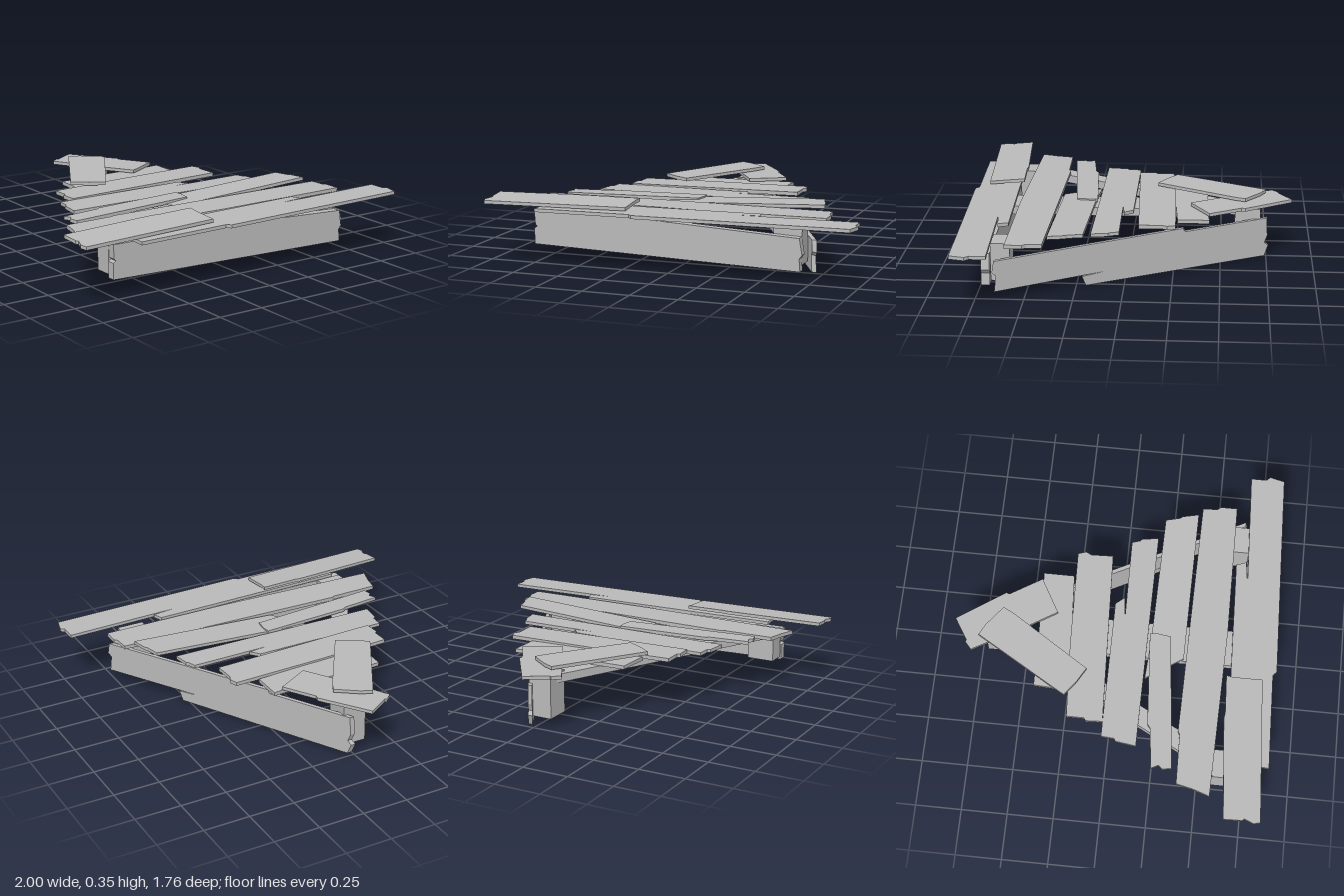
import * as THREE from 'three';

const weatheredGrey = new THREE.MeshStandardMaterial({ color: 0xbababa });
weatheredGrey.name = 'weatheredGrey';

// Extrudes a 2D outline, then moves each vertex by a rule
function slab(name, outline, depth, rule) {
  const shape = new THREE.Shape(outline.map(([a, b]) => new THREE.Vector2(a, b)));
  const g = new THREE.ExtrudeGeometry(shape, { depth, bevelEnabled: false });
  const p = g.attributes.position;
  for (let i = 0; i < p.count; i++) {
    p.setXYZ(i, ...rule(p.getX(i), p.getY(i), p.getZ(i)));
  }
  g.computeVertexNormals();
  const mesh = new THREE.Mesh(g, weatheredGrey);
  mesh.name = name;
  return mesh;
}

// Flat board from an (x, z) outline; the underside lies at y + sx * x + sz * z
function board(name, outline, y, thick, sx = 0, sz = 0) {
  return slab(name, outline.map(([x, z]) => [x, -z]), thick,
    (a, b, d) => [a, y + d + sx * a - sz * b, -b]);
}

export function createModel() {
  const model = new THREE.Group();
  model.name = 'brokenPlankPlatform';

  // Deck planks with splintered ends, from back to front
  const deck = new THREE.Group();
  deck.name = 'deckPlanks';
  deck.add(
    board('peakPlank', [[-0.19, -0.78], [-0.15, -0.815], [-0.14, -0.81], [-0.02, -0.885], [0.155, -0.63],
      [0.15, -0.61], [0.255, -0.44], [0.07, -0.335], [-0.02, -0.48]], 0.302, 0.018),
    board('peakOverlayPlank', [[-0.11, -0.745], [-0.05, -0.715], [0.06, -0.63], [0.03, -0.57], [-0.24, -0.145],
      [-0.32, -0.19], [-0.40, -0.25], [-0.36, -0.32]], 0.314, 0.018, 0, -0.02),
    board('plankOne', [[-0.35, -0.42], [0.24, -0.435], [0.30, -0.44], [0.30, -0.27], [-0.36, -0.23]], 0.277, 0.02),
    board('plankTwo', [[-0.51, -0.225], [-0.1, -0.25], [0.43, -0.265], [0.445, -0.22], [0.43, -0.19], [0.435, -0.07],
      [-0.52, -0.03], [-0.525, -0.12], [-0.51, -0.13]], 0.288, 0.02),
    board('plankThree', [[-0.60, -0.03], [0.16, -0.03], [0.2, 0.02], [0.1, 0.03], [0.53, 0.025], [0.545, 0.07],
      [0.555, 0.08], [0.57, 0.17], [-0.635, 0.16], [-0.62, 0.05], [-0.605, 0.04]], 0.283, 0.018),
    board('plankFourLeft', [[-0.75, 0.25], [-0.53, 0.225], [-0.51, 0.21], [0, 0.175], [0.005, 0.22], [-0.005, 0.29],
      [-0.74, 0.36], [-0.75, 0.31], [-0.73, 0.29]], 0.292, 0.018),
    board('plankFourRight', [[-0.25, 0.17], [-0.02, 0.185], [0.67, 0.2], [0.69, 0.28], [0.7, 0.29], [0.72, 0.38],
      [-0.12, 0.37]], 0.284, 0.018, 0.045),
    board('plankFive', [[-0.82, 0.39], [-0.55, 0.385], [-0.53, 0.375], [0.77, 0.4], [0.775, 0.48], [0.79, 0.5],
      [0.79, 0.59], [0.05, 0.595], [-0.87, 0.57], [-0.84, 0.48]], 0.288, 0.02),
    board('frontPlank', [[-0.69, 0.645], [0.45, 0.61], [0.47, 0.665], [0.34, 0.68], [0.98, 0.655], [0.98, 0.74],
      [1.0, 0.76], [0.98, 0.84], [-0.15, 0.875], [-0.17, 0.855], [-0.69, 0.87], [-0.68, 0.74]], 0.295, 0.018),
    board('frontOverlayPlank', [[-0.995, 0.65], [-0.45, 0.61], [-0.42, 0.615], [-0.21, 0.605], [-0.215, 0.64],
      [-0.21, 0.8], [-0.99, 0.845], [-1.0, 0.81], [-0.98, 0.76], [-0.99, 0.75]], 0.382, 0.018, 0, -0.08),
  );
  model.add(deck);

  // Support beams under the deck
  const beams = new THREE.Group();
  beams.name = 'supportBeams';
  beams.add(
    board('leftBeam', [[-0.73, 0.57], [-0.62, 0.57], [0.02, -0.63], [-0.08, -0.66]], 0.235, 0.045, 0, 0.012),
    board('centreBeam', [[-0.13, 0.67], [0.07, 0.67], [0.07, -0.35], [-0.13, -0.42]], 0.237, 0.045),
  );
  model.add(beams);

  // Corner posts
  const posts = [
    ['frontRightPost', -0.68, 0.625, 0.15, 0.1, 0.11],
    ['frontLeftPost', 0.615, 0.625, 0.15, 0.1, 0.08],
    ['backPost', -0.02, -0.645, 0.13, 0.14, 0.05],
  ];
  for (const [name, x, z, w, d, bottom] of posts) {
    const post = new THREE.Mesh(new THREE.BoxGeometry(w, 0.28 - bottom, d), weatheredGrey);
    post.name = name;
    post.position.set(x, (0.28 + bottom) / 2, z);
    model.add(post);
  }

  // Front skirt board, an (x, y) outline
  model.add(slab('frontSkirt', [[-0.76, 0.095], [0.13, 0.07], [0.695, 0.055], [0.69, 0.12], [0.705, 0.14],
    [0.69, 0.225], [0.1, 0.255], [-0.1, 0.265], [-0.76, 0.275], [-0.755, 0.2], [-0.745, 0.19], [-0.76, 0.18]], 0.045,
    (x, y, d) => [x, y, 0.68 + d]));

  // Left skirt board with a split end, a (-z, y) outline laid along the slanted edge
  model.add(slab('leftSkirt', [[-0.65, 0.045], [-0.11, 0.065], [-0.22, 0.055], [-0.2, 0.003], [0.74, 0.015],
    [0.76, 0.07], [0.74, 0.09], [0.755, 0.13], [0.75, 0.23], [0.31, 0.22], [0.3, 0.24], [-0.2, 0.225],
    [-0.65, 0.21], [-0.66, 0.15], [-0.64, 0.13]], 0.025,
    (u, y, d) => [0.395 - 0.52 * u + d, y - 0.003, -u]));

  return model;
}
